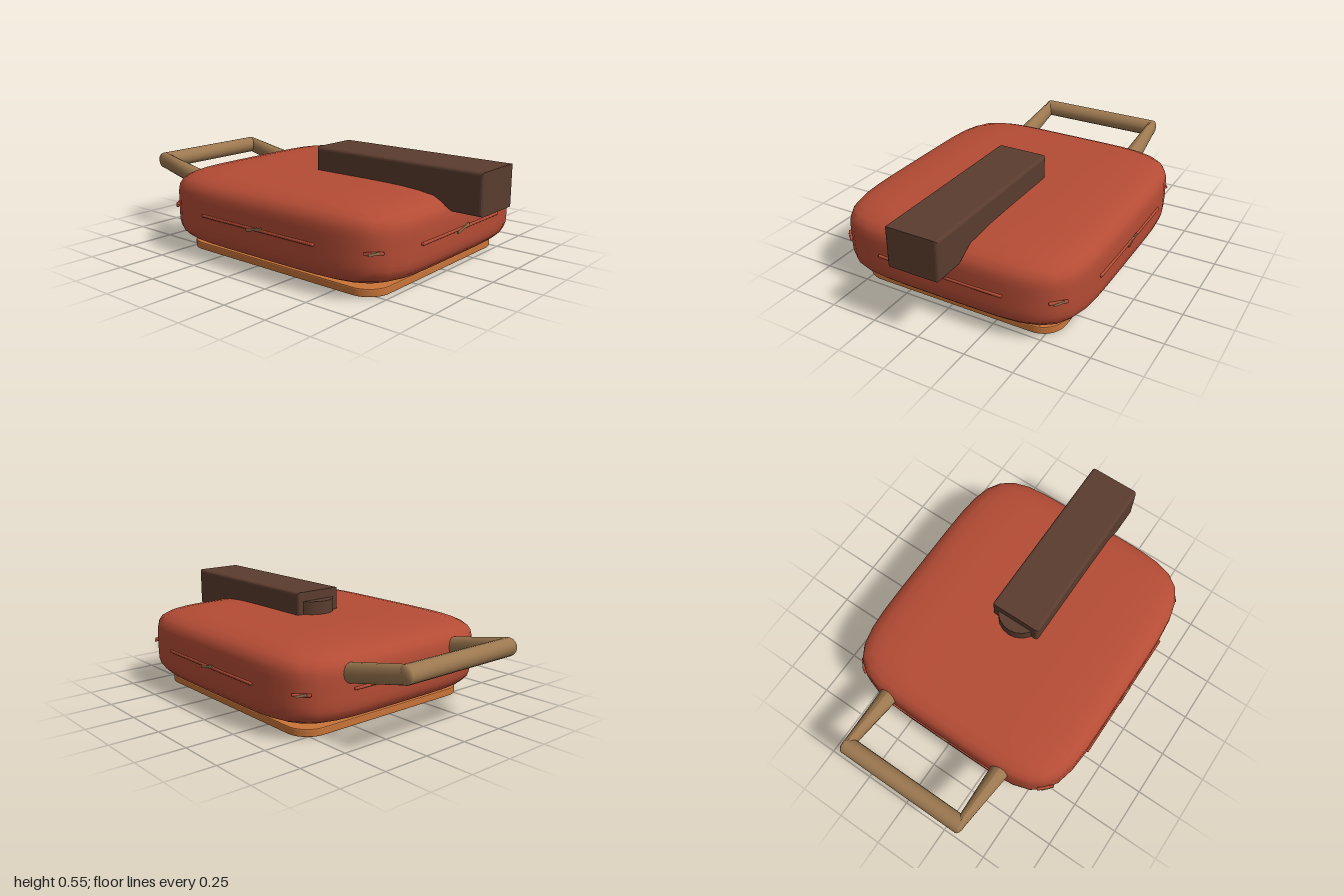
import * as THREE from 'three';
import { mergeVertices } from 'three/addons/utils/BufferGeometryUtils.js';
import { RoundedBoxGeometry } from 'three/addons/geometries/RoundedBoxGeometry.js';

const material = (name, color) => Object.assign(new THREE.MeshStandardMaterial({ color }), { name });

// A pillow-like block: a box grid projected onto a superellipsoid.
function pillow(hx, hy, hz, n) {
  let geo = new THREE.BoxGeometry(2, 2, 2, 12, 12, 12);
  geo.deleteAttribute('normal');
  geo.deleteAttribute('uv');
  geo = mergeVertices(geo, 1e-4);
  const p = geo.attributes.position;
  const v = new THREE.Vector3();
  for (let i = 0; i < p.count; i++) {
    v.fromBufferAttribute(p, i);
    const k = (Math.abs(v.x) ** n + Math.abs(v.y) ** n + Math.abs(v.z) ** n) ** (-1 / n);
    p.setXYZ(i, v.x * k * hx, v.y * k * hy, v.z * k * hz);
  }
  geo.computeVertexNormals();
  return geo;
}

function roundedRect(hx, hy, r) {
  const s = new THREE.Shape();
  s.absarc(hx - r, hy - r, r, 0, Math.PI / 2);
  s.absarc(-hx + r, hy - r, r, Math.PI / 2, Math.PI);
  s.absarc(-hx + r, -hy + r, r, Math.PI, Math.PI * 1.5);
  s.absarc(hx - r, -hy + r, r, Math.PI * 1.5, Math.PI * 2);
  return s;
}

export function createModel() {
  const group = new THREE.Group();
  const red = material('red shell', 0xb54c35);
  const orange = material('orange base', 0xc87438);
  const brown = material('dark brown latch', 0x5a3c2e);
  const tan = material('tan handle', 0x9c7850);

  const add = (name, geo, mat, x = 0, y = 0, z = 0, parent = group) => {
    const mesh = new THREE.Mesh(geo, mat);
    mesh.name = name;
    mesh.position.set(x, y, z);
    parent.add(mesh);
    return mesh;
  };

  const cz = 0.095, seamY = 0.232;

  // Body and base plate
  add('body', pillow(0.658, 0.193, 0.73, 5.5), red, 0, seamY, cz);
  const base = new THREE.ExtrudeGeometry(roundedRect(0.555, 0.625, 0.12), {
    depth: 0.028, bevelEnabled: true, bevelThickness: 0.006, bevelSize: 0.006,
    bevelOffset: -0.006, bevelSegments: 2, curveSegments: 8,
  });
  base.rotateX(-Math.PI / 2);
  add('base', base, orange, 0, 0.006, cz);

  // Seam ridges with small tan slivers on each side and at each corner
  const seam = new THREE.Group();
  seam.name = 'seam';
  group.add(seam);
  const ridge = (x, z, turn, length, sliver) => {
    const part = new THREE.Group();
    part.name = 'seamRidge';
    part.position.set(x, seamY, z);
    part.rotation.y = turn;
    add('ridge', new RoundedBoxGeometry(length, 0.014, 0.016, 2, 0.005), red, 0, 0, 0, part);
    const chip = add('sliver', new THREE.BoxGeometry(sliver, 0.012, 0.006), tan, 0, 0, 0.007, part);
    chip.rotation.z = 0.25;
    seam.add(part);
  };
  for (const s of [1, -1]) {
    ridge(0, cz + s * 0.729, s > 0 ? 0 : Math.PI, 0.68, 0.1);
    ridge(s * 0.658, cz, s * Math.PI / 2, 0.74, 0.1);
    for (const t of [1, -1]) {
      ridge(s * 0.583, cz + t * 0.646, Math.atan2(s, t), 0.09, 0.05);
    }
  }

  // Latch arm: side profile drawn as (z, y), hooked over the front edge
  const profile = new THREE.Shape([
    [0.03, 0.40], [0.74, 0.40], [0.79, 0.37], [0.84, 0.34], [1, 0.34], [1, 0.545], [0.03, 0.545],
  ].map(([z, y]) => new THREE.Vector2(z, y)));
  const arm = new THREE.ExtrudeGeometry(profile, {
    depth: 0.248, bevelEnabled: true, bevelThickness: 0.015, bevelSize: 0.015,
    bevelOffset: -0.015, bevelSegments: 3,
  });
  arm.translate(0, 0, -0.124);
  arm.rotateY(-Math.PI / 2);
  add('latchArm', arm, brown);
  add('latchPivot', new THREE.CylinderGeometry(0.12, 0.12, 0.105, 20), brown, 0, 0.4425, 0.092);

  // Carrying handle: two tapering legs and a crossbar
  const handle = new THREE.Group();
  handle.name = 'handle';
  group.add(handle);
  const up = new THREE.Vector3(0, 1, 0);
  for (const s of [1, -1]) {
    const from = new THREE.Vector3(s * 0.35, 0.305, -0.61);
    const to = new THREE.Vector3(s * 0.345, 0.375, -0.95);
    const length = from.distanceTo(to);
    const geo = new THREE.CylinderGeometry(0.046, 0.05, length, 16);
    const p = geo.attributes.position;
    for (let i = 0; i < p.count; i++) {
      if (p.getY(i) > 0) p.setX(i, p.getX(i) * 0.55);
    }
    geo.computeVertexNormals();
    const leg = add('handleLeg', geo, tan, 0, 0, 0, handle);
    leg.position.copy(from).lerp(to, 0.5);
    leg.quaternion.setFromUnitVectors(up, to.clone().sub(from).normalize());
  }
  const bar = new THREE.CapsuleGeometry(0.046, 0.7, 4, 16);
  bar.rotateZ(Math.PI / 2);
  const bp = bar.attributes.position;
  for (let i = 0; i < bp.count; i++) {
    // Flatten the rounded ends to a slight dome
    const x = bp.getX(i), over = Math.abs(x) - 0.35;
    if (over > 0) bp.setX(i, Math.sign(x) * (0.35 + over * 0.45));
  }
  bar.computeVertexNormals();
  add('handleBar', bar, tan, 0, 0.375, -0.954, handle);

  return group;
}
